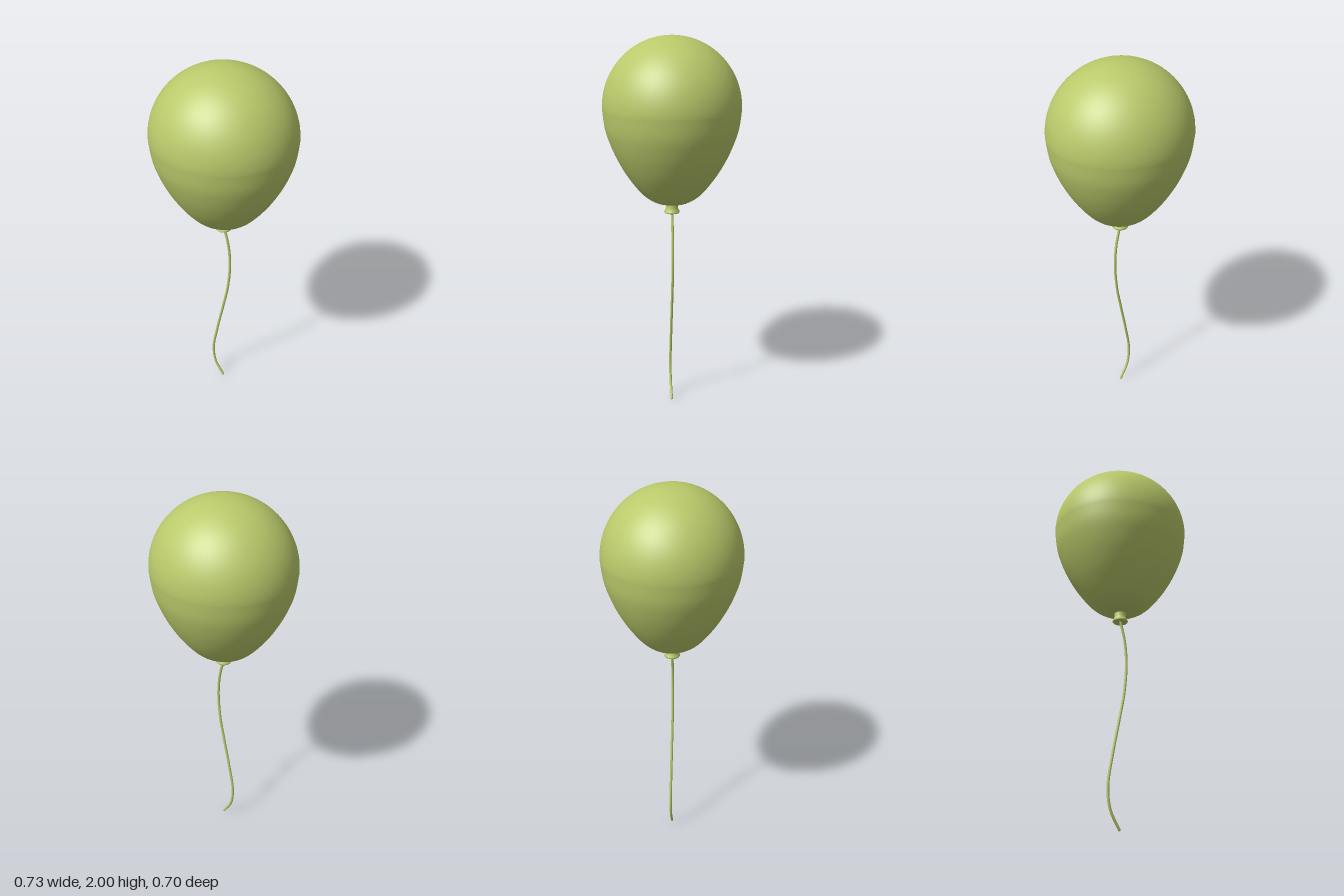
import * as THREE from 'three';

const material = new THREE.MeshStandardMaterial({ color: 0xb9c96a });

function addPart(group, name, geometry) {
  const mesh = new THREE.Mesh(geometry, material);
  mesh.name = name;
  group.add(mesh);
  return mesh;
}

const points = (list) => list.map(([x, y]) => new THREE.Vector2(x, y));

export function createModel() {
  const group = new THREE.Group();
  group.name = 'balloon';

  // Body: tapering lower half, then a near-spherical dome
  const lower = new THREE.SplineCurve(points([
    [0, 1.149], [0.055, 1.152], [0.11, 1.17], [0.17, 1.215], [0.24, 1.303],
    [0.292, 1.39], [0.328, 1.47], [0.353, 1.55], [0.365, 1.646],
  ])).getPoints(40);
  const dome = [];
  for (let i = 1; i <= 28; i++) {
    const a = (i / 28) * Math.PI / 2;
    dome.push(new THREE.Vector2(i === 28 ? 0 : 0.365 * Math.cos(a), 1.646 + 0.354 * Math.sin(a)));
  }
  const body = addPart(group, 'body', new THREE.LatheGeometry([...lower, ...dome], 72));
  body.scale.z = 0.96; // slightly narrower front to back

  // Neck: short flared tube with a rolled lip, closed underneath
  addPart(group, 'neck', new THREE.LatheGeometry(points([
    [0, 1.104], [0.03, 1.102], [0.038, 1.1], [0.041, 1.104], [0.039, 1.11],
    [0.034, 1.117], [0.031, 1.13], [0.03, 1.145], [0.032, 1.16], [0, 1.16],
  ]), 32));

  // String: gentle S-curve hanging in the front plane
  const path = new THREE.CatmullRomCurve3([
    [0, 1.11], [0.026, 1], [0.036, 0.87], [0.024, 0.71], [-0.004, 0.56],
    [-0.04, 0.38], [-0.066, 0.21], [-0.053, 0.1], [-0.005, 0.008],
  ].map(([x, y]) => new THREE.Vector3(x, y, 0)));
  addPart(group, 'string', new THREE.TubeGeometry(path, 80, 0.007, 10, false));

  // Rounded ends close the string
  for (const t of [0, 1]) {
    const end = addPart(group, 'stringEnd', new THREE.SphereGeometry(0.007, 10, 8));
    end.position.copy(path.getPoint(t));
  }
  return group;
}
